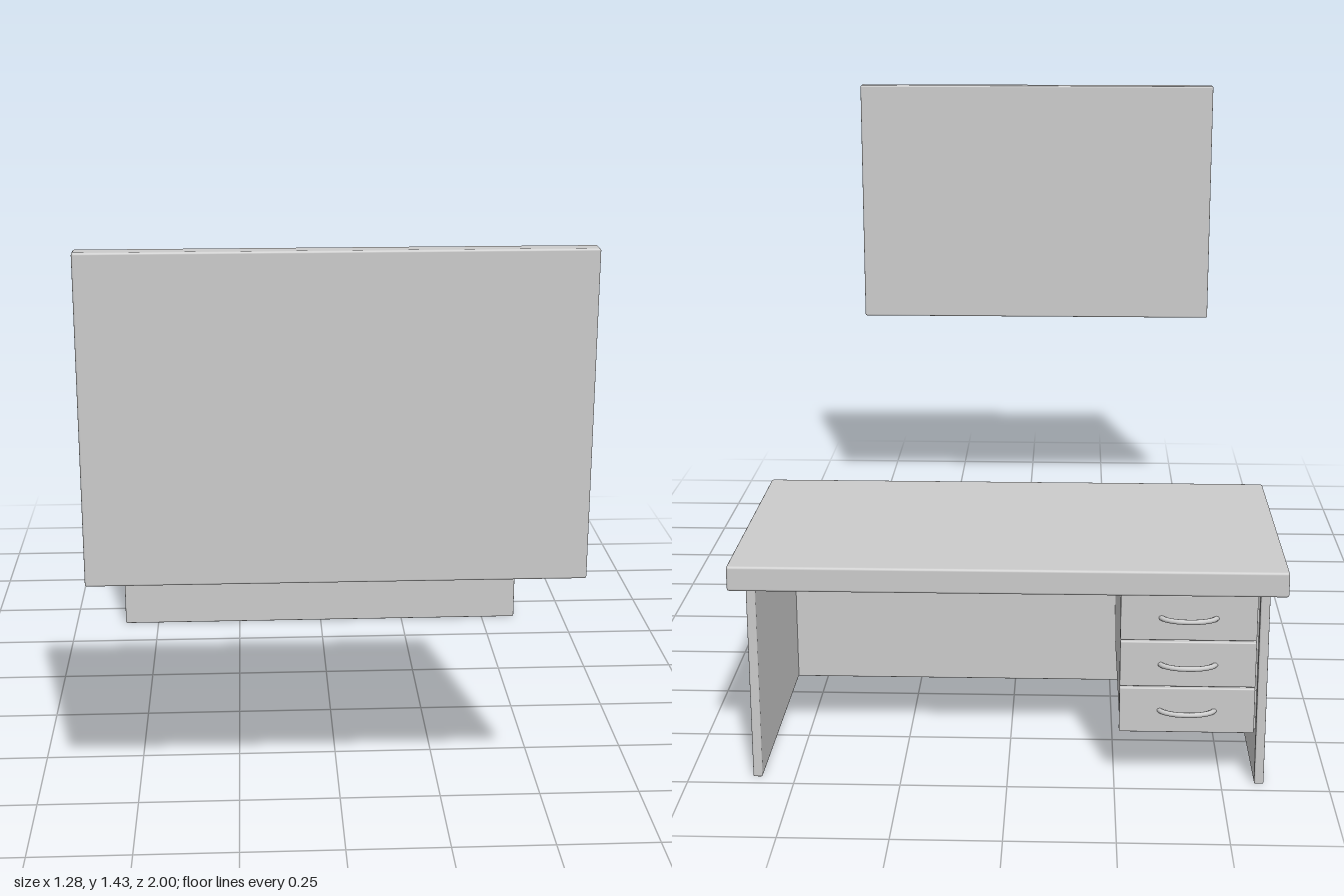
import * as THREE from 'three';
import { RoundedBoxGeometry } from 'three/addons/geometries/RoundedBoxGeometry.js';

const material = new THREE.MeshStandardMaterial({ color: 0xcccccc });

// Box with softly rounded edges, given by its extents on each axis
function slab(name, [x0, x1], [y0, y1], [z0, z1], radius = 0.004) {
  const geometry = new RoundedBoxGeometry(x1 - x0, y1 - y0, z1 - z0, 2, radius);
  const mesh = new THREE.Mesh(geometry, material);
  mesh.position.set((x0 + x1) / 2, (y0 + y1) / 2, (z0 + z1) / 2);
  mesh.name = name;
  return mesh;
}

// Bowed pull handle, a round bar curving out from the drawer front
function handle(x, y, z) {
  const bow = new THREE.CatmullRomCurve3([
    [-0.066, 0.006], [-0.056, -0.008], [-0.032, -0.02], [0, -0.024],
    [0.032, -0.02], [0.056, -0.008], [0.066, 0.006],
  ].map(([px, pz]) => new THREE.Vector3(px, 0, pz)));
  const mesh = new THREE.Mesh(new THREE.TubeGeometry(bow, 28, 0.006, 10), material);
  mesh.position.set(x, y, z);
  mesh.name = 'drawerHandle';
  return mesh;
}

function createDesk() {
  const desk = new THREE.Group();
  desk.name = 'desk';
  const front = -0.38, back = -0.97, top = 0.478;

  desk.add(slab('deskTop', [-0.64, 0.64], [0.475, 0.535], [-0.99, -0.35], 0.006));
  desk.add(slab('frontPanel', [-0.6, 0.6], [0, top], [front - 0.022, front]));
  desk.add(slab('rightSidePanel', [-0.6, -0.578], [0, top], [back, front]));
  desk.add(slab('leftSidePanel', [0.578, 0.6], [0, top], [back, front]));

  // Hanging drawer cabinet with three drawer fronts
  const drawers = new THREE.Group();
  drawers.name = 'drawerCabinet';
  drawers.add(slab('cabinetBody', [-0.579, -0.262], [0.132, top], [back + 0.018, front - 0.02], 0.002));
  for (let i = 0; i < 3; i++) {
    const y = 0.13 + i * 0.115;
    drawers.add(slab('drawerFront', [-0.573, -0.26], [y, y + 0.111], [back, back + 0.02], 0.003));
    drawers.add(handle(-0.416, y + 0.055, back));
  }
  desk.add(drawers);
  return desk;
}

export function createModel() {
  const model = new THREE.Group();
  model.name = 'deskAndBoard';
  model.add(createDesk());
  // Board hanging opposite the desk
  model.add(slab('wallBoard', [-0.585, 0.542], [0.675, 1.43], [0.957, 1], 0.005));
  return model;
}
